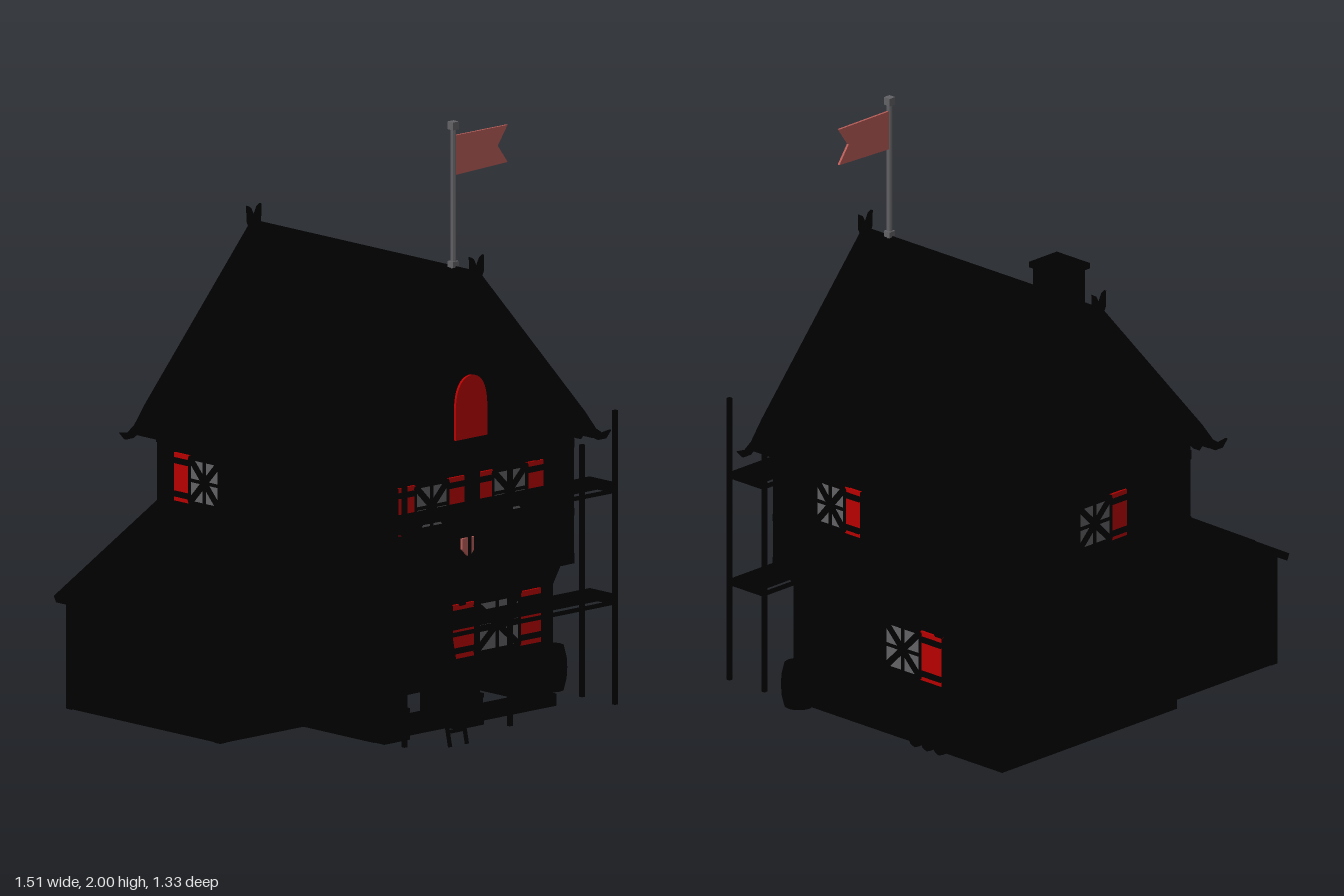
import * as THREE from 'three';

const mat = (name, color) => {
  const m = new THREE.MeshStandardMaterial({ color, side: THREE.DoubleSide, flatShading: true });
  m.name = name;
  return m;
};
const CX = 0.157; // centre line of the house

export function createModel() {
  const model = new THREE.Group();
  model.name = 'timberHouse';
  const black = mat('black', 0x000000), red = mat('shutterRed', 0xb80000);
  const grey = mat('grey', 0x626266), cloth = mat('flagCloth', 0xb85c57);

  const add = (parent, name, geo, m, x = 0, y = 0, z = 0) => {
    const mesh = new THREE.Mesh(geo, m);
    mesh.name = name;
    mesh.position.set(x, y, z);
    parent.add(mesh);
    return mesh;
  };
  // box from minimum and maximum corners
  const box = (name, x0, x1, y0, y1, z0, z1, m = black, parent = model) =>
    add(parent, name, new THREE.BoxGeometry(x1 - x0, y1 - y0, z1 - z0), m, (x0 + x1) / 2, (y0 + y1) / 2, (z0 + z1) / 2);
  // bar running between two points
  const beam = (name, a, b, w = 0.02, d = w, m = black, parent = model) => {
    const p = new THREE.Vector3(...a), q = new THREE.Vector3(...b), dir = q.clone().sub(p);
    const mesh = add(parent, name, new THREE.BoxGeometry(w, dir.length(), d), m);
    mesh.position.copy(p).add(q).multiplyScalar(0.5);
    mesh.quaternion.setFromUnitVectors(new THREE.Vector3(0, 1, 0), dir.normalize());
    return mesh;
  };
  // outline in xy with optional holes, extruded from z0 to z1
  const vecs = pts => pts.map(p => new THREE.Vector2(...p));
  const rect = (x0, x1, y0, y1) => [[x0, y0], [x1, y0], [x1, y1], [x0, y1]];
  const slab = (name, pts, z0, z1, m = black, holes = []) => {
    const shape = new THREE.Shape(vecs(pts));
    for (const h of holes) shape.holes.push(new THREE.Path(vecs(h)));
    return add(model, name, new THREE.ExtrudeGeometry(shape, { depth: z1 - z0, bevelEnabled: false }), m, 0, 0, z0);
  };

  // ground floor: four walls, open underneath
  slab('groundFront', rect(-0.235, 0.55, 0.03, 0.48), 0.31, 0.322, black,
    [rect(-0.1, -0.01, 0.065, 0.13), rect(0.23, 0.42, 0.05, 0.1), rect(0.215, 0.405, 0.23, 0.39)]);
  box('groundBack', -0.235, 0.55, 0.03, 0.48, -0.605, -0.593);
  for (const x of [-0.24, 0.541]) box('groundSide', x, x + 0.012, 0.03, 0.48, -0.6, 0.32);
  box('sillFront', -0.25, 0.567, 0, 0.04, 0.315, 0.345);
  box('sillBack', -0.25, 0.567, 0, 0.04, -0.617, -0.592);
  for (const x of [-0.25, 0.542]) box('sillSide', x, x + 0.025, 0, 0.04, -0.61, 0.34);
  for (const x of [-0.235, 0.545]) for (const z of [-0.595, 0.315])
    box('cornerPost', x - 0.015, x + 0.02, 0.03, 0.46, z - 0.015, z + 0.015);
  for (const x of [0.1, 0.53]) box('groundStud', x - 0.012, x + 0.012, 0.04, 0.44, 0.32, 0.333);
  box('door', -0.13, 0.04, 0.135, 0.38, 0.315, 0.335);
  // low rails either side of the door
  for (const [x0, x1] of [[-0.245, -0.13], [0.08, 0.2]]) {
    box('railTop', x0, x1, 0.09, 0.105, 0.365, 0.39);
    box('railFoot', x0, x1, 0, 0.02, 0.345, 0.39);
    for (const x of [x0, x1 - 0.015]) box('railPost', x, x + 0.015, 0, 0.1, 0.365, 0.385);
  }

  // hollow upper floor with gables, overhanging on brackets
  const gable = [[-0.3, 0.465], [0.612, 0.465], [0.612, 0.96], [CX, 1.47], [-0.3, 0.96]];
  for (const z of [-0.612, 0.343]) slab('gableWall', gable, z, z + 0.012);
  for (const x of [-0.3, 0.6]) box('upperSideWall', x, x + 0.012, 0.465, 0.965, -0.605, 0.35);
  // narrow soffits close the overhang
  box('soffitFront', -0.3, 0.612, 0.465, 0.477, 0.31, 0.35);
  for (const x of [-0.3, 0.541]) box('soffitSide', x, x + 0.071, 0.465, 0.477, -0.605, 0.35);
  for (let i = 0; i < 7; i++) {
    const x = -0.22 + i * 0.125;
    beam('frontBracket', [x, 0.4, 0.325], [x, 0.48, 0.36], 0.025);
  }
  for (let i = 0; i < 8; i++) {
    const z = -0.58 + i * 0.127;
    for (const s of [-1, 1])
      beam('sideBracket', [CX + s * 0.395, 0.4, z], [CX + s * 0.45, 0.49, z], 0.03);
  }
  for (const [y, h] of [[0.47, 0.035], [0.63, 0.025], [0.855, 0.03]]) {
    box('girtFront', -0.31, 0.622, y, y + h, 0.35, 0.37);
    box('girtBack', -0.31, 0.622, y, y + h, -0.625, -0.605);
    for (const s of [-1, 1])
      box('girtSide', CX + s * 0.4525 - 0.0125, CX + s * 0.4525 + 0.0125, y, y + h, -0.625, 0.37);
  }
  for (let i = 0; i < 7; i++) {
    const x = CX + (i - 3) * 0.151, z = -0.612 + i * 0.161, r = i === 3 ? 0.006 : 0.011;
    for (const f of [0.36, -0.615]) box('upperStud', x - r, x + r, 0.48, 0.93, f - 0.009, f + 0.009);
    for (const s of [-1, 1])
      box('upperStudSide', CX + s * 0.455 - 0.01, CX + s * 0.455 + 0.01, 0.48, 0.93, z - 0.011, z + 0.011);
  }
  for (const f of [0.36, -0.617]) {
    box('gableTie', -0.3, 0.612, 0.925, 0.955, f - 0.01, f + 0.012);
    box('gableCollar', 0.03, 0.28, 1.235, 1.26, f - 0.01, f + 0.01);
    for (const s of [-1, 1]) {
      for (const dx of [0.1, 0.22, 0.32])
        box('gableStud', CX + s * dx - 0.01, CX + s * dx + 0.01, 0.94, 1.42 - dx * 1.1, f - 0.01, f + 0.01);
      beam('cornerBrace', [CX + s * 0.44, 0.65, f], [CX + s * 0.37, 0.86, f], 0.02, 0.016);
    }
  }

  // windows: crossed pane, batten shutters and trim, built facing +z
  const windowUnit = (x, y, z, turn, w, h, sw, sides) => {
    const g = new THREE.Group();
    g.name = 'window';
    g.position.set(x, y, z);
    g.rotation.y = turn;
    model.add(g);
    box('pane', -w / 2, w / 2, -h / 2, h / 2, 0, 0.008, grey, g);
    for (const s of [-1, 1]) {
      box('frameSide', s * w / 2 - 0.004, s * w / 2 + 0.004, -h / 2, h / 2, 0, 0.014, black, g);
      box('frameRail', -w / 2, w / 2, s * h / 2 - 0.006, s * h / 2 + 0.006, 0, 0.016, black, g);
      beam('paneCross', [-w / 2, -s * h / 2, 0.008], [w / 2, s * h / 2, 0.008], 0.021, 0.01, black, g);
    }
    box('mullion', -0.005, 0.005, -h / 2, h / 2, 0, 0.014, black, g);
    box('transom', -w / 2, w / 2, -0.005, 0.005, 0, 0.014, black, g);
    for (const s of sides) {
      const c = s * (w + sw) / 2, e = s * (w / 2 + sw + 0.003);
      box('shutter', c - sw / 2, c + sw / 2, -h / 2 - 0.005, h / 2 + 0.005, 0.002, 0.01, red, g);
      box('shutterEdge', e - 0.003, e + 0.003, -h / 2 - 0.005, h / 2 + 0.005, 0, 0.011, black, g);
      for (const t of [-1, 1])
        box('batten', c - sw / 2, c + sw / 2, t * h * 0.37 - 0.009, t * h * 0.37 + 0.009, 0.004, 0.018, black, g);
    }
  };
  const Q = Math.PI / 2;
  windowUnit(0.312, 0.31, 0.323, 0, 0.2, 0.17, 0.097, [-1, 1]);
  windowUnit(-0.017, 0.758, 0.362, 0, 0.145, 0.15, 0.075, [-1, 1]);
  windowUnit(0.332, 0.758, 0.362, 0, 0.15, 0.15, 0.075, [-1, 1]);
  windowUnit(0.555, 0.31, -0.165, Q, 0.16, 0.16, 0.097, [1]);
  windowUnit(0.616, 0.758, 0.103, Q, 0.13, 0.15, 0.07, [1]);
  windowUnit(0.148, 0.756, -0.62, Math.PI, 0.15, 0.15, 0.075, [1]);
  windowUnit(-0.304, 0.756, -0.39, -Q, 0.14, 0.15, 0.075, [-1]);

  // pointed attic hatch, and a shield behind the middle stud
  const arch = new THREE.Shape();
  arch.moveTo(-0.07, 0).lineTo(0.07, 0).lineTo(0.07, 0.11);
  arch.quadraticCurveTo(0.065, 0.205, 0, 0.21).quadraticCurveTo(-0.065, 0.205, -0.07, 0.11);
  add(model, 'atticHatch', new THREE.ExtrudeGeometry(arch, { depth: 0.009, bevelEnabled: false }), red, CX, 0.96, 0.368);
  slab('shield', [[0.126, 0.626], [0.126, 0.59], [CX, 0.56], [0.186, 0.59], [0.186, 0.626]], 0.358, 0.366, cloth);

  // roof slopes, overlapping courses and ridge cap
  const roofY = d => 1.515 - d * 1.13;
  for (const s of [-1, 1]) {
    const p = (d, lift) => [CX + s * d, roofY(d) + lift];
    slab('roofSlope', [p(0, -0.003), p(0.525, -0.003), p(0.525, -0.04), p(0, -0.05)], -0.65, 0.395);
    for (let i = 0; i < 6; i++) {
      const d0 = i * 0.0875, d1 = d0 + 0.0875;
      slab('roofCourse', [p(d0, -0.004), p(d1, 0.002), p(d1, -0.012), p(d0, -0.012)], -0.65, 0.395);
    }
    slab('ridgeCap', [p(0, 0.005), p(0.055, 0.012), p(0.055, -0.01), p(0, -0.02)], -0.65, 0.4);
    for (let i = 0; i < 9; i++) {
      const z = -0.62 + i * 0.122;
      beam('rafterTail', [...p(0.44, -0.06), z], [...p(0.505, -0.055), z], 0.03);
    }
    // verge boards with crossed horns and curled feet
    const upper = [[-0.03, 1.57], [-0.016, 1.562], [0.004, 1.522], [0.48, 0.98], [0.53, 0.915], [0.56, 0.895], [0.598, 0.9]];
    const lower = [[0.575, 0.875], [0.54, 0.875], [0.505, 0.895], [0.46, 0.945], [0, 1.455], [-0.028, 1.515]];
    for (const z of [0.395, -0.662])
      slab('vergeBoard', [...upper, ...lower].map(([d, y]) => [CX + s * d, y]), z, z + 0.01);
  }

  // chimney
  box('chimney', -0.21, -0.1, 1.05, 1.45, -0.24, -0.11);
  box('chimneyCap', -0.222, -0.092, 1.443, 1.462, -0.25, -0.1);

  // lean-to shed, open underneath
  for (const z of [-0.615, 0.098])
    slab('shedEnd', [[-0.71, 0.03], [-0.24, 0.03], [-0.24, 0.66], [-0.71, 0.415]], z, z + 0.012);
  box('shedSide', -0.712, -0.7, 0.03, 0.415, -0.61, 0.105);
  for (const z of [-0.605, 0.1]) box('shedPost', -0.718, -0.69, 0.03, 0.4, z - 0.013, z + 0.013);
  for (let i = 0; i < 5; i++) {
    const z0 = -0.637 + i * 0.1545, e = (i % 2) * 0.004;
    slab('shedRoofBoard', [[-0.755, 0.408 + e], [-0.745, 0.385], [-0.29, 0.63], [-0.29, 0.66 + e]], z0, z0 + 0.1545);
  }

  // scaffold: posts, thin decks on cross bars, ledgers
  const posts = [-0.313, CX, 0.627];
  for (const x of posts) {
    box('outerPost', x - 0.007, x + 0.007, 0.03, 1.01, 0.552, 0.566);
    box('innerPost', x - 0.007, x + 0.007, 0.03, 0.87, 0.395, 0.409);
  }
  for (const y of [0.37, 0.742]) {
    box('deck', -0.34, 0.652, y + 0.01, y + 0.02, 0.412, 0.542);
    for (const x of posts) box('crossBar', x - 0.007, x + 0.007, y - 0.008, y + 0.008, 0.4, 0.56);
    for (const z of [0.402, 0.559]) box('ledger', posts[0], posts[2], y - 0.006, y + 0.006, z - 0.005, z + 0.005);
  }

  // leaning ladder
  const foot = [0.03, 0.66], head = [0.46, 0.562];
  for (const x of [-0.205, -0.13]) beam('ladderRail', [x, ...foot], [x, ...head], 0.01);
  for (let i = 1; i < 9; i++) {
    const t = i / 9, y = foot[0] + t * (head[0] - foot[0]), z = foot[1] + t * (head[1] - foot[1]);
    box('ladderRung', -0.205, -0.13, y - 0.005, y + 0.005, z - 0.005, z + 0.005);
  }

  // barrel and log pile beside the right wall
  const stave = [[0, 0], [0.048, 0], [0.058, 0.04], [0.06, 0.072], [0.058, 0.105], [0.048, 0.147], [0, 0.147]];
  add(model, 'barrel', new THREE.LatheGeometry(vecs(stave), 12), black, 0.633, 0.027, 0.24);
  for (const [z, y] of [[-0.3, 0.055], [-0.355, 0.055], [-0.41, 0.055], [-0.328, 0.1], [-0.383, 0.1]]) {
    const log = add(model, 'log', new THREE.CylinderGeometry(0.027, 0.027, 0.09, 8), black, 0.605, y, z);
    log.rotation.z = Q;
  }

  // flagpole with swallow-tailed flag
  add(model, 'flagpole', new THREE.CylinderGeometry(0.0095, 0.0095, 0.48, 8), grey, CX, 1.75, 0.29);
  box('poleCap', CX - 0.013, CX + 0.013, 1.974, 2, 0.277, 0.303, grey);
  box('poleFoot', CX - 0.013, CX + 0.013, 1.515, 1.535, 0.277, 0.303, grey);
  slab('flag', [[0.16, 1.953], [0.396, 1.953], [0.352, 1.89], [0.396, 1.829], [0.16, 1.821]], 0.286, 0.294, cloth);

  return model;
}
